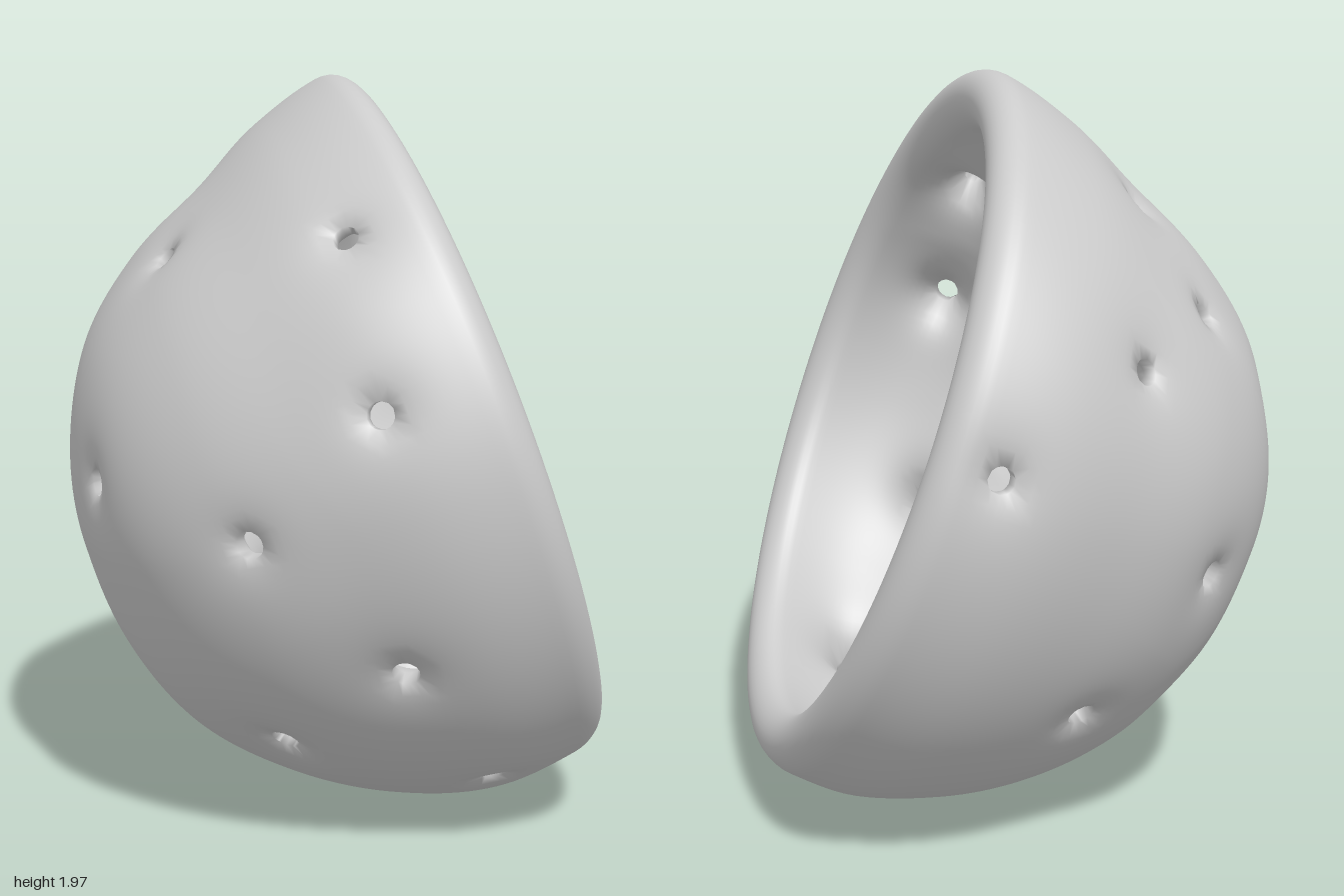
import * as THREE from 'three';
import { mergeVertices } from 'three/addons/utils/BufferGeometryUtils.js';

// Bowl frame: centre of the mouth, opening axis, up along the rim, sideways
const CENTRE = new THREE.Vector3(0.36, 1.08, 0);
const AXIS = new THREE.Vector3(0.942, 0.335, 0).normalize();
const UP = new THREE.Vector3(-AXIS.y, AXIS.x, 0);
const SIDE = new THREE.Vector3(0, 0, 1);
const HALF = 0.08; // half the wall thickness
const HOLE = 0.036; // hole radius

// Outer radius every 15 degrees from the pole to the rim
const spline = (radii) => new THREE.SplineCurve(radii.map((r, i) => new THREE.Vector2(i, r)));
const upper = spline([1.085, 1.06, 1.025, 0.965, 0.92, 0.935, 0.965]);
const lower = spline([1.085, 1.11, 1.125, 1.105, 1.085, 1.065, 1.005]);
const flank = spline([1.085, 1.085, 1.09, 1.065, 1.025, 1.015, 0.99]);

// Where the holes pierce the wall
const holes = [
  [-0.31, 1.66, -0.23], [-0.42, 1.5, 0.15], [-0.06, 1.63, 0.67], [0, 1.22, 0.88],
  [-0.31, 0.88, 0.76], [0.06, 0.52, 0.85], [-0.18, 0.28, 0.46], [0.38, 0.19, 0.43],
  [0.34, 0.07, -0.31], [-0.4, 0.34, -0.34], [-0.69, 0.94, 0.28], [-0.7, 1.09, -0.26],
  [-0.5, 1.42, -0.5], [-0.25, 1.34, -0.82], [0.2, 1.12, -0.97], [-0.42, 0.75, -0.65],
  [-0.12, 0.32, -0.74], [-0.12, 0.08, 0],
].map((p) => new THREE.Vector3(...p).sub(CENTRE).normalize());

function nearestHole(dir) {
  let best = { d: Infinity, hole: null };
  for (const hole of holes) {
    const d = dir.angleTo(hole);
    if (d < best.d) best = { d, hole };
  }
  return best;
}

// Radius of the middle of the wall in a direction
function midRadius(dir) {
  const theta = Math.acos(THREE.MathUtils.clamp(-dir.dot(AXIS), -1, 1));
  const t = Math.min(1, theta / (Math.PI / 2));
  const u = dir.dot(UP);
  const c2 = (u * u) / Math.max(1e-9, u * u + dir.z * dir.z);
  const side = flank.getPoint(t).y;
  const end = (u > 0 ? upper : lower).getPoint(t).y;
  return side + (end - side) * c2 - HALF;
}

function bowlGeometry() {
  const BODY = 64, LIP = 8, SEGS = 220, rings = BODY + LIP;
  const bodyEnd = THREE.MathUtils.degToRad(87), lip = THREE.MathUtils.degToRad(5.2);

  // Grid of directions, with the wall rounding off over the lip
  const dirs = [], halves = [];
  for (let i = 0; i <= rings; i++) {
    const k = (Math.max(0, i - BODY) / LIP) * (Math.PI / 2);
    const theta = bodyEnd * Math.min(1, i / BODY) + lip * Math.sin(k);
    for (let j = 0; j < SEGS; j++) {
      const phi = (j / SEGS) * Math.PI * 2;
      dirs.push(new THREE.Vector3()
        .addScaledVector(AXIS, -Math.cos(theta))
        .addScaledVector(UP, Math.sin(theta) * Math.cos(phi))
        .addScaledVector(SIDE, Math.sin(theta) * Math.sin(phi)));
      halves.push(i === rings ? 0 : HALF * Math.cos(k));
    }
  }
  const at = (i, j) => i * SEGS + ((j + SEGS) % SEGS);
  const quad = (i, j) => [at(i, j), at(i, j + 1), at(i + 1, j + 1), at(i + 1, j)];

  // Open the holes: drop the cells inside, pull the cells' border onto a circle
  const dead = dirs.map((d) => nearestHole(d).d < HOLE * 0.95);
  const open = (i, j) => i >= 0 && i < rings && quad(i, j).some((v) => dead[v]);
  const border = new Set();
  for (let i = 0; i < rings; i++)
    for (let j = 0; j < SEGS; j++)
      if (open(i, j)) quad(i, j).forEach((v) => dead[v] || border.add(v));
  for (const v of border) {
    const { hole } = nearestHole(dirs[v]);
    const away = dirs[v].clone().addScaledVector(hole, -dirs[v].dot(hole)).normalize();
    dirs[v].copy(hole).multiplyScalar(Math.cos(HOLE)).addScaledVector(away, Math.sin(HOLE));
  }

  // Outer skin first, then inner skin; around each hole the inner one
  // funnels out to a thin edge while the outer one dips slightly
  const n = dirs.length, positions = new Float32Array(n * 6);
  dirs.forEach((dir, v) => {
    const pinch = Math.exp(-Math.max(0, nearestHole(dir).d - HOLE) / 0.06);
    const mid = midRadius(dir);
    const outer = mid + halves[v] * (1 - 0.3 * pinch);
    const inner = mid - halves[v] * (1 - 1.25 * pinch);
    dir.clone().multiplyScalar(outer).add(CENTRE).toArray(positions, v * 3);
    dir.clone().multiplyScalar(inner).add(CENTRE).toArray(positions, (n + v) * 3);
  });

  const index = [];
  const face = (a, b, c, d) => index.push(a, b, c, a, c, d);
  for (let i = 0; i < rings; i++) {
    for (let j = 0; j < SEGS; j++) {
      if (open(i, j)) continue;
      const [a, b, c, d] = quad(i, j);
      face(a, b, c, d);
      face(n + d, n + c, n + b, n + a);
      // Walls of the holes
      const edges = [[a, b, i - 1, j], [b, c, i, j + 1], [c, d, i + 1, j], [d, a, i, j - 1]];
      for (const [p, q, ni, nj] of edges) if (open(ni, nj)) face(q, p, n + p, n + q);
    }
  }

  let geometry = new THREE.BufferGeometry();
  geometry.setAttribute('position', new THREE.BufferAttribute(positions, 3));
  geometry.setIndex(index);
  geometry = mergeVertices(geometry, 1e-5);
  geometry.computeVertexNormals();

  // Stand it on the ground, centred
  geometry.computeBoundingBox();
  const box = geometry.boundingBox, mid = box.getCenter(new THREE.Vector3());
  geometry.translate(-mid.x, -box.min.y, -mid.z);
  return geometry;
}

export function createModel() {
  const group = new THREE.Group();
  group.name = 'piercedBowl';
  const bowl = new THREE.Mesh(bowlGeometry(), new THREE.MeshStandardMaterial({ color: 0xcccccc }));
  bowl.name = 'bowl';
  group.add(bowl);
  return group;
}
